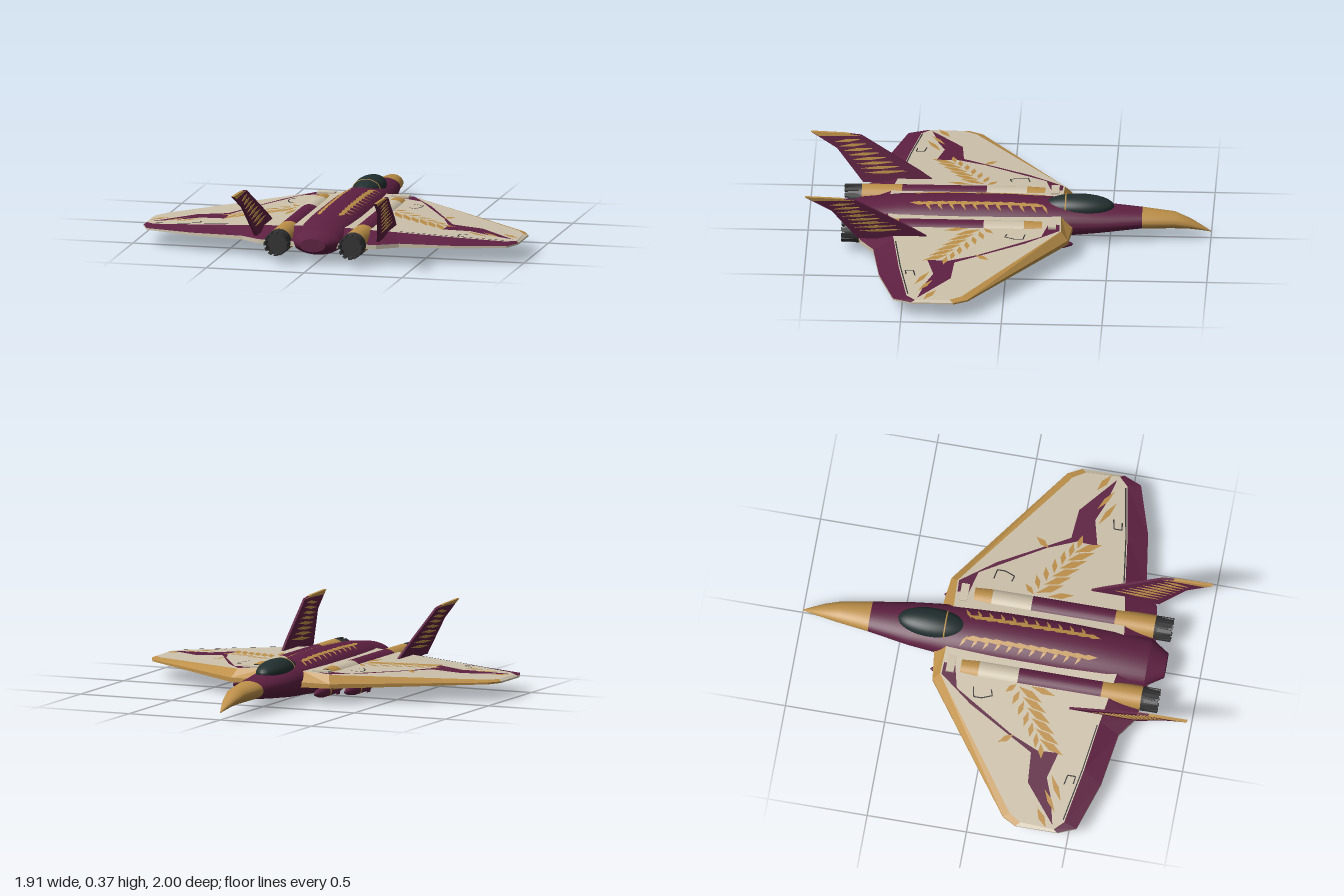
import * as THREE from 'three';
import { mergeGeometries } from 'three/addons/utils/BufferGeometryUtils.js';

export function createModel() {
  const model = new THREE.Group();
  model.name = 'jet';
  const mat = (name, color) => {
    const m = new THREE.MeshStandardMaterial({ color, side: THREE.DoubleSide });
    m.name = name;
    return m;
  };
  const purple = mat('purple', 0x5e2041), gold = mat('gold', 0xbd9049), cream = mat('cream', 0xcdc2ab);
  const dark = mat('dark grey', 0x333333), glass = mat('canopy glass', 0x22302f);

  const add = (name, geo, material) => {
    const m = new THREE.Mesh(geo, material);
    m.name = name;
    model.add(m);
  };
  // Adds a part on the +x side and its mirror image with reversed winding
  const pair = (name, geo, material) => {
    add(name + 'Left', geo, material);
    const g = geo.clone().scale(-1, 1, 1);
    const old = g.index ? Array.from(g.index.array) : Array.from({ length: g.attributes.position.count }, (_, i) => i);
    g.setIndex(old.reverse());
    add(name + 'Right', g, material);
  };
  const quads = (list) => {
    const p = [];
    for (const [a, b, c, d] of list) p.push(...a, ...b, ...c, ...a, ...c, ...d);
    const g = new THREE.BufferGeometry();
    g.setAttribute('position', new THREE.Float32BufferAttribute(p, 3));
    g.computeVertexNormals();
    return g;
  };
  // Thin pointed leaf and straight strip, as plan corners [x, z]
  const leaf = (ax, az, bx, bz, w) => {
    const l = Math.hypot(bx - ax, bz - az), nx = -(bz - az) / l * w, nz = (bx - ax) / l * w;
    const mx = (ax + bx) / 2, mz = (az + bz) / 2;
    return [[mx + nx, mz + nz], [bx, bz], [mx - nx, mz - nz], [ax, az]];
  };
  const strip = ([ax, az], [bx, bz], w) => {
    const l = Math.hypot(bx - ax, bz - az), nx = -(bz - az) / l * w, nz = (bx - ax) / l * w;
    return [[ax + nx, az + nz], [bx + nx, bz + nz], [bx - nx, bz - nz], [ax - nx, az - nz]];
  };
  const drape = (list, yFn) => quads(list.map((q) => q.map(([x, z]) => [x, yFn(x, z), z])));

  // Fuselage stations: z, half width, bottom, top
  const stations = [
    [-1, 0.002, 0.034, 0.038], [-0.96, 0.015, 0.042, 0.064], [-0.9, 0.034, 0.052, 0.1], [-0.82, 0.053, 0.056, 0.135],
    [-0.66, 0.078, 0.058, 0.15], [-0.45, 0.112, 0.035, 0.166], [-0.25, 0.133, 0.015, 0.189], [0, 0.14, 0, 0.2],
    [0.3, 0.14, 0.012, 0.2], [0.55, 0.135, 0.025, 0.19], [0.74, 0.125, 0.04, 0.166], [0.83, 0.065, 0.07, 0.136]];
  const loft = (rows, n = 32) => {
    const p = [], idx = [];
    rows.forEach(([z, w, lo, hi], i) => {
      for (let k = 0; k <= n; k++) {
        const a = (k / n) * Math.PI * 2;
        p.push(w * Math.cos(a), (lo + hi) / 2 + (hi - lo) / 2 * Math.sin(a), z);
        if (i < rows.length - 1 && k < n) {
          const q = i * (n + 1) + k, r = q + n + 1;
          idx.push(q, q + 1, r, q + 1, r + 1, r);
        }
      }
    });
    const g = new THREE.BufferGeometry();
    g.setAttribute('position', new THREE.Float32BufferAttribute(p, 3));
    g.setIndex(idx);
    g.computeVertexNormals();
    return g;
  };
  add('noseCone', loft(stations.slice(0, 5)), gold);
  add('fuselage', loft(stations.slice(4, 11)), purple);
  add('tailCone', loft(stations.slice(10)), purple);
  add('tailCap', new THREE.CircleGeometry(1, 32).scale(0.065, 0.033, 1).translate(0, 0.103, 0.83), purple);

  // Leaf trim along the spine
  const hullTop = (x, z) => {
    const i = Math.max(1, stations.findIndex((s) => s[0] >= z));
    const a = stations[i - 1], b = stations[i], t = (z - a[0]) / (b[0] - a[0]);
    const [w, lo, hi] = [1, 2, 3].map((k) => a[k] + (b[k] - a[k]) * t);
    return (lo + hi) / 2 + (hi - lo) / 2 * Math.sqrt(Math.max(0, 1 - (x / w) ** 2)) + 0.004;
  };
  const spine = [];
  for (let i = 0; i < 11; i++) {
    const z = -0.16 + i * 0.058;
    spine.push(leaf(0.045, z, 0.1, z - 0.035, 0.008), leaf(0.062, z - 0.02, 0.05, z + 0.075, 0.013));
  }
  pair('spineLeaves', drape(spine, hullTop), gold);

  // Canopy with its frame
  const canopy = new THREE.SphereGeometry(1, 32, 20).scale(0.076, 0.056, 0.175).translate(0, 0.164, -0.345);
  add('canopy', canopy, glass);
  add('canopyFrame', new THREE.TorusGeometry(1, 0.035, 6, 32).scale(0.071, 0.053, 0.12).translate(0, 0.164, -0.28), gold);

  // Wings: flat top panel, bevelled rim and flat underside
  const outer = [[0.1, -0.32], [0.27, -0.3], [0.92, 0.17], [0.957, 0.24], [0.957, 0.45], [0.92, 0.54],
    [0.67, 0.62], [0.4, 0.66], [0.3, 0.73], [0.1, 0.76]];
  const inner = [[0.1, -0.26], [0.25, -0.265], [0.9, 0.2], [0.937, 0.26], [0.945, 0.43], [0.9, 0.475],
    [0.62, 0.525], [0.36, 0.56], [0.24, 0.58], [0.1, 0.6]];
  const top = (x) => 0.14 - 0.045 * (x - 0.3) / 0.65;
  const edge = (x) => 0.088 + (top(x) - 0.095) * 0.3;
  const plate = (pts, yFn) => {
    const g = new THREE.ShapeGeometry(new THREE.Shape(pts.map(([x, z]) => new THREE.Vector2(x, -z)))).rotateX(-Math.PI / 2);
    const p = g.attributes.position;
    for (let i = 0; i < p.count; i++) p.setY(i, yFn(p.getX(i)));
    g.computeVertexNormals();
    return g;
  };
  pair('wingTop', plate(inner, top), cream);
  const under = plate(outer, () => 0.08);
  under.setIndex(Array.from(under.index.array).reverse());
  under.computeVertexNormals();
  pair('wingUnderside', under, cream);
  const rim = (from, to, low) => {
    const list = [];
    for (let i = from; i < to; i++) {
      const [a, b, c, d] = [inner[i], inner[i + 1], outer[i + 1], outer[i]];
      const at = ([x, z], y) => [x, y, z];
      list.push(low
        ? [at(d, edge(d[0])), at(c, edge(c[0])), at(c, 0.08), at(d, 0.08)]
        : [at(a, top(a[0])), at(b, top(b[0])), at(c, edge(c[0])), at(d, edge(d[0]))]);
    }
    return quads(list);
  };
  pair('wingLeadingEdge', mergeGeometries([rim(0, 3, false), rim(0, 3, true)]), gold);
  pair('wingTipEdge', mergeGeometries([rim(3, 4, false), rim(3, 9, true)]), cream);
  pair('wingTrailingEdge', rim(4, 9, false), purple);
  pair('wingBand', plate([[0.19, -0.255], [0.25, -0.258], [0.38, -0.09], [0.575, 0.25], [0.73, 0.262], [0.925, 0.42],
    [0.78, 0.385], [0.69, 0.35], [0.555, 0.385], [0.56, 0.28], [0.5, 0.14], [0.31, -0.17], [0.19, -0.2]],
  (x) => top(x) + 0.002), purple);

  // Leaf trim and panel lines on the wings
  const wingLeaves = [];
  for (let i = 0; i < 6; i++) {
    const x = 0.25 + i * 0.05, z = 0.13 + i * 0.03;
    wingLeaves.push(leaf(x, z, x + 0.065, z + 0.13, 0.019), leaf(x + 0.02, z + 0.01, x + 0.1, z - 0.015 + i * 0.008, 0.014));
  }
  wingLeaves.push(leaf(0.5, 0.15, 0.55, 0.08, 0.016), leaf(0.24, 0.19, 0.27, 0.32, 0.016), leaf(0.24, 0.12, 0.29, 0.07, 0.014),
    leaf(0.67, 0.37, 0.8, 0.44, 0.014), leaf(0.75, 0.35, 0.86, 0.42, 0.012), leaf(0.85, 0.33, 0.945, 0.39, 0.016));
  pair('wingLeaves', drape(wingLeaves, (x) => top(x) + 0.004), gold);
  const lines = [
    [[0.29, -0.09], [0.34, -0.08], [0.34, -0.04], [0.32, 0.01], [0.29, 0]],
    [[0.71, 0.44], [0.66, 0.45], [0.66, 0.49], [0.7, 0.485]],
    [[0.38, 0.55], [0.62, 0.517], [0.89, 0.468]]];
  pair('panelLines', drape(lines.flatMap((l) => l.slice(1).map((p, i) => strip(l[i], p, 0.003))), (x) => top(x) + 0.003), dark);

  // Engine pods in painted sections, with toothed nozzles
  const tube = (x, y, z0, z1, r0, r1, open = true) => new THREE.CylinderGeometry(r1, r0, z1 - z0, 28, 1, open)
    .rotateX(Math.PI / 2).translate(x, y, (z0 + z1) / 2);
  const ex = 0.19, ey = 0.1, er = 0.062;
  pair('intakeRing', tube(ex, ey, -0.17, -0.08, er - 0.004, er), gold);
  pair('podFront', tube(ex, ey, -0.08, 0.12, er, er), cream);
  pair('podMiddle', tube(ex, ey, 0.12, 0.54, er, er), purple);
  pair('podRear', tube(ex, ey, 0.54, 0.74, er, er), gold);
  pair('intakeFace', tube(ex, ey, -0.165, -0.155, 0.057, 0.057, false), dark);
  pair('intakeRamp', new THREE.BoxGeometry(0.09, 0.03, 0.04).translate(ex, 0.143, -0.22), cream);
  const nozzle = [tube(ex, ey, 0.74, 0.81, 0.062, 0.054), tube(ex, ey, 0.75, 0.77, 0.058, 0.058, false)];
  for (let i = 0; i < 12; i++) {
    nozzle.push(new THREE.BoxGeometry(0.018, 0.008, 0.08).translate(0, 0.056, 0.786).rotateZ(i * Math.PI / 6).translate(ex, ey, 0));
  }
  pair('nozzle', mergeGeometries(nozzle), dark);

  // Outward-leaning swept fins; points are [z, y]
  const finPlate = (pts, thick) => {
    const g = new THREE.ExtrudeGeometry(new THREE.Shape(pts.map(([z, y]) => new THREE.Vector2(-z, y))),
      { depth: thick, bevelEnabled: false }).translate(0, 0, -thick / 2).rotateY(Math.PI / 2);
    const p = g.attributes.position;
    for (let i = 0; i < p.count; i++) p.setX(i, p.getX(i) + 0.315 + (p.getY(i) - 0.13) * 0.21);
    g.computeVertexNormals();
    return g;
  };
  pair('tailFin', finPlate([[0.37, 0.12], [0.46, 0.18], [0.75, 0.352], [0.83, 0.36], [1, 0.366], [0.87, 0.287], [0.74, 0.12]], 0.012), purple);
  pair('finTip', finPlate([[0.745, 0.349], [0.83, 0.361], [1, 0.367], [0.96, 0.346], [0.83, 0.35]], 0.015), gold);
  const finLeaves = [];
  for (let i = 0; i < 8; i++) {
    const y = 0.165 + i * 0.022;
    const z0 = 0.54 + (y - 0.18) * 1.55, z1 = 0.72 + (y - 0.15) * 0.95;
    finLeaves.push(finPlate(leaf(z0, y + 0.014, z1, y, 0.008), 0.016));
  }
  pair('finLeaves', mergeGeometries(finLeaves), gold);

  // Underwing stores on short pylons
  for (const [name, x, z] of [['innerStore', 0.2, -0.17], ['outerStore', 0.305, -0.04]]) {
    const profile = [[0, -0.15], [0.016, -0.15], [0.026, -0.1], [0.027, 0.06], [0.02, 0.11], [0.009, 0.145], [0, 0.155]];
    const body = new THREE.LatheGeometry(profile.map(([r, h]) => new THREE.Vector2(r, h)), 20).rotateX(-Math.PI / 2).translate(x, 0.05, z);
    pair(name, body, purple);
    pair(name + 'Band', tube(x, 0.05, z - 0.028, z - 0.012, 0.0285, 0.0285), gold);
    pair(name + 'Pylon', new THREE.BoxGeometry(0.012, 0.03, 0.12).translate(x, 0.08, z), purple);
    pair(name + 'Fins', mergeGeometries([[0.12, 0.004], [0.004, 0.07]].map(([w, h]) =>
      new THREE.BoxGeometry(w, h, 0.04).translate(x, 0.05, z + 0.12))), purple);
  }
  return model;
}
